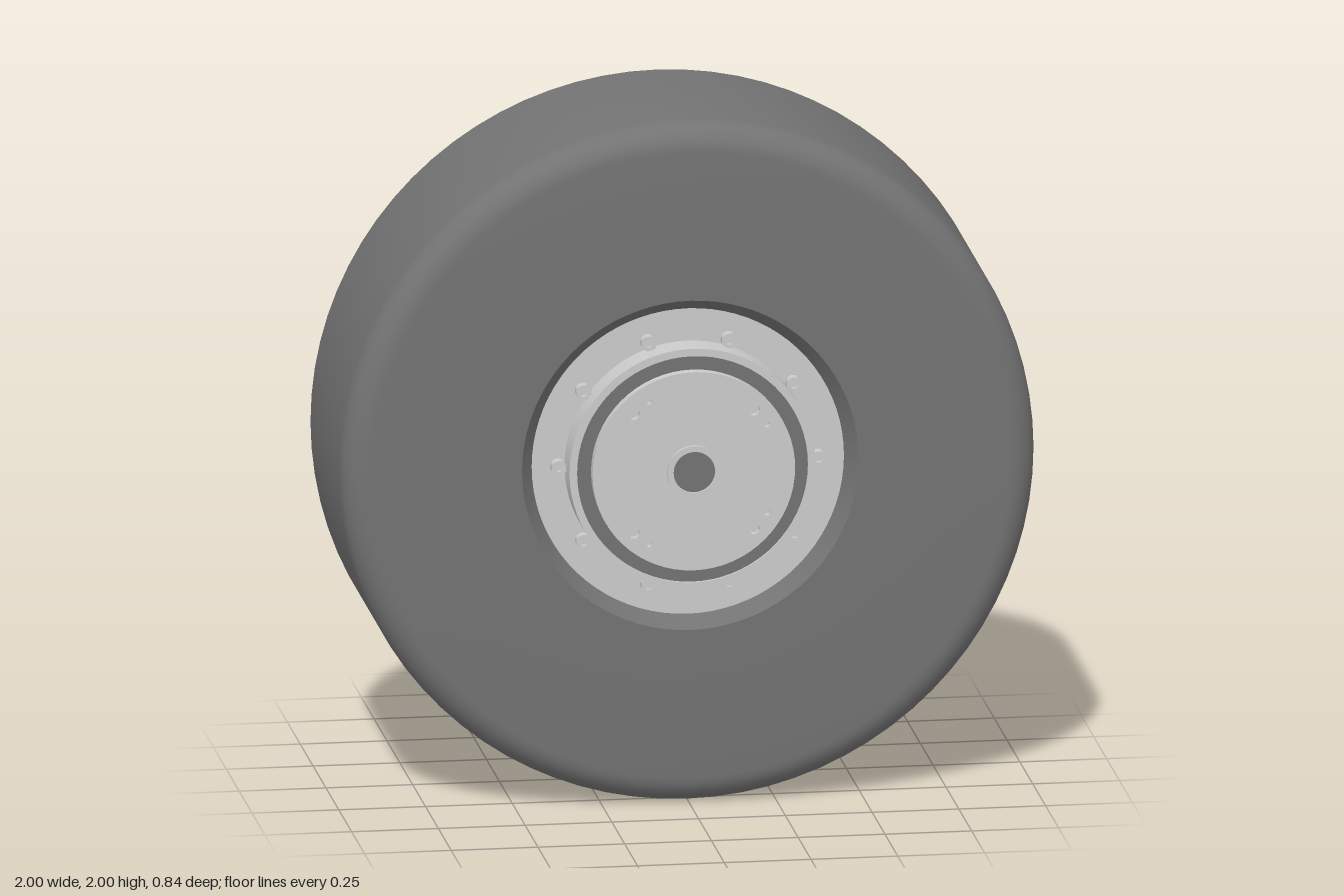
import * as THREE from 'three';
import { toCreasedNormals } from 'three/addons/utils/BufferGeometryUtils.js';

const metal = new THREE.MeshStandardMaterial({ color: 0xcccccc });
const rubber = new THREE.MeshStandardMaterial({ color: 0x737373 });

function add(parent, name, geometry, material = metal) {
  const mesh = new THREE.Mesh(geometry, material);
  mesh.name = name;
  parent.add(mesh);
  return mesh;
}

// Surface turned around the axle; points are [radius, z], listed from back to front on the outside.
function turned(points, segments = 72) {
  const lathe = new THREE.LatheGeometry(points.map(([r, z]) => new THREE.Vector2(r, z)), segments);
  return toCreasedNormals(lathe.rotateX(Math.PI / 2), 0.5);
}

function circle(r, x = 0, y = 0, Type = THREE.Path) {
  return new Type().absarc(x, y, r, 0, Math.PI * 2, false);
}

// Disc of radius r from z0 to z1 with holes cut through it.
function plate(r, z0, z1, holes, curveSegments) {
  const shape = circle(r, 0, 0, THREE.Shape);
  shape.holes = holes;
  const geometry = new THREE.ExtrudeGeometry(shape, { depth: z1 - z0, bevelEnabled: false, curveSegments });
  return toCreasedNormals(geometry.translate(0, 0, z0), 0.5);
}

// Socket head screw along +z, seated at z = 0.
function screw(r, height) {
  const group = new THREE.Group();
  const hexagon = new THREE.Path();
  for (let i = 0; i < 6; i++) {
    const a = i * Math.PI / 3;
    hexagon[i ? 'lineTo' : 'moveTo'](Math.cos(a) * r * 0.55, Math.sin(a) * r * 0.55);
  }
  hexagon.closePath();
  add(group, 'screwHead', plate(r, 0, height, [hexagon], 10));
  add(group, 'socketFloor', new THREE.CircleGeometry(r * 0.6, 6).translate(0, 0, height * 0.5));
  return group;
}

// Ring of screws; back = true points them towards -z.
function screwRing(parent, name, count, radius, startDegrees, z, height, back) {
  for (let i = 0; i < count; i++) {
    const a = THREE.MathUtils.degToRad(startDegrees) + i * Math.PI * 2 / count;
    const s = screw(0.022, height);
    s.name = name;
    s.position.set(Math.cos(a) * radius, Math.sin(a) * radius, z);
    if (back) s.rotation.y = Math.PI;
    parent.add(s);
  }
}

export function createModel() {
  const model = new THREE.Group();
  model.name = 'wheel';
  const wheel = new THREE.Group();
  wheel.name = 'wheelAssembly';
  wheel.position.y = 1;
  model.add(wheel);

  // Tyre with rounded shoulders and chamfered bead
  const round = 0.08, back = -0.375, front = 0.34;
  const profile = [[0.45, -0.35], [0.485, back]];
  for (const [z, start] of [[back + round, -Math.PI / 2], [front - round, 0]]) {
    for (let i = 0; i <= 8; i++) {
      const a = start + i * Math.PI / 16;
      profile.push([1 - round + Math.cos(a) * round, z + Math.sin(a) * round]);
    }
  }
  profile.push([0.485, front], [0.45, 0.29]);
  add(wheel, 'tyre', turned(profile, 80), rubber);

  // Front flange and raised hub rim
  add(wheel, 'frontFlange', turned([
    [0.452, 0.29], [0.355, 0.29], [0.355, 0.385], [0.333, 0.385], [0.333, 0.36],
  ]));
  add(wheel, 'hubSeal', turned([[0.335, 0.377], [0.28, 0.377]]), rubber);
  screwRing(wheel, 'flangeScrew', 10, 0.375, 0, 0.29, 0.03, false);

  // Hub cap with mounting holes
  const holes = [circle(0.06)];
  for (const side of [-1, 1]) {
    holes.push(circle(0.017, 0.173, side * 0.175), circle(0.017, -0.173, side * 0.175));
    holes.push(circle(0.009, 0.21, side * 0.13), circle(0.009, -0.13, side * 0.21));
  }
  add(wheel, 'hubCap', plate(0.292, 0.37, 0.408, holes, 32));
  add(wheel, 'holeFloor', new THREE.CircleGeometry(0.29, 48).translate(0, 0, 0.385));

  // Central boss and axle end
  add(wheel, 'centreBoss', plate(0.077, 0.4, 0.42, [circle(0.06)], 20));
  add(wheel, 'axleEnd', new THREE.CircleGeometry(0.061, 40).translate(0, 0, 0.414), rubber);

  // Back cover and its two rings of screws
  add(wheel, 'backCover', new THREE.CircleGeometry(0.452, 72).rotateY(Math.PI).translate(0, 0, -0.352));
  screwRing(wheel, 'outerCoverScrew', 10, 0.375, 0, -0.352, 0.038, true);
  screwRing(wheel, 'innerCoverScrew', 8, 0.25, -8, -0.352, 0.038, true);

  // Centre bolt on a washer
  add(wheel, 'centreWasher', turned([[0, -0.365], [0.05, -0.365], [0.05, -0.35]], 32));
  add(wheel, 'centreStem', turned([[0.024, -0.4], [0.024, -0.36]], 24));
  const bolt = screw(0.037, 0.033);
  bolt.name = 'centreBolt';
  bolt.rotation.y = Math.PI;
  bolt.position.z = -0.39;
  wheel.add(bolt);
  add(wheel, 'boltUnderside', new THREE.CircleGeometry(0.037, 24).translate(0, 0, -0.39));

  // Filler valve
  const valve = add(wheel, 'valve', turned([
    [0, -0.418], [0.034, -0.418], [0.034, -0.385], [0.022, -0.385], [0.022, -0.35],
  ], 24));
  valve.position.set(0.328, -0.05, 0);

  return model;
}
